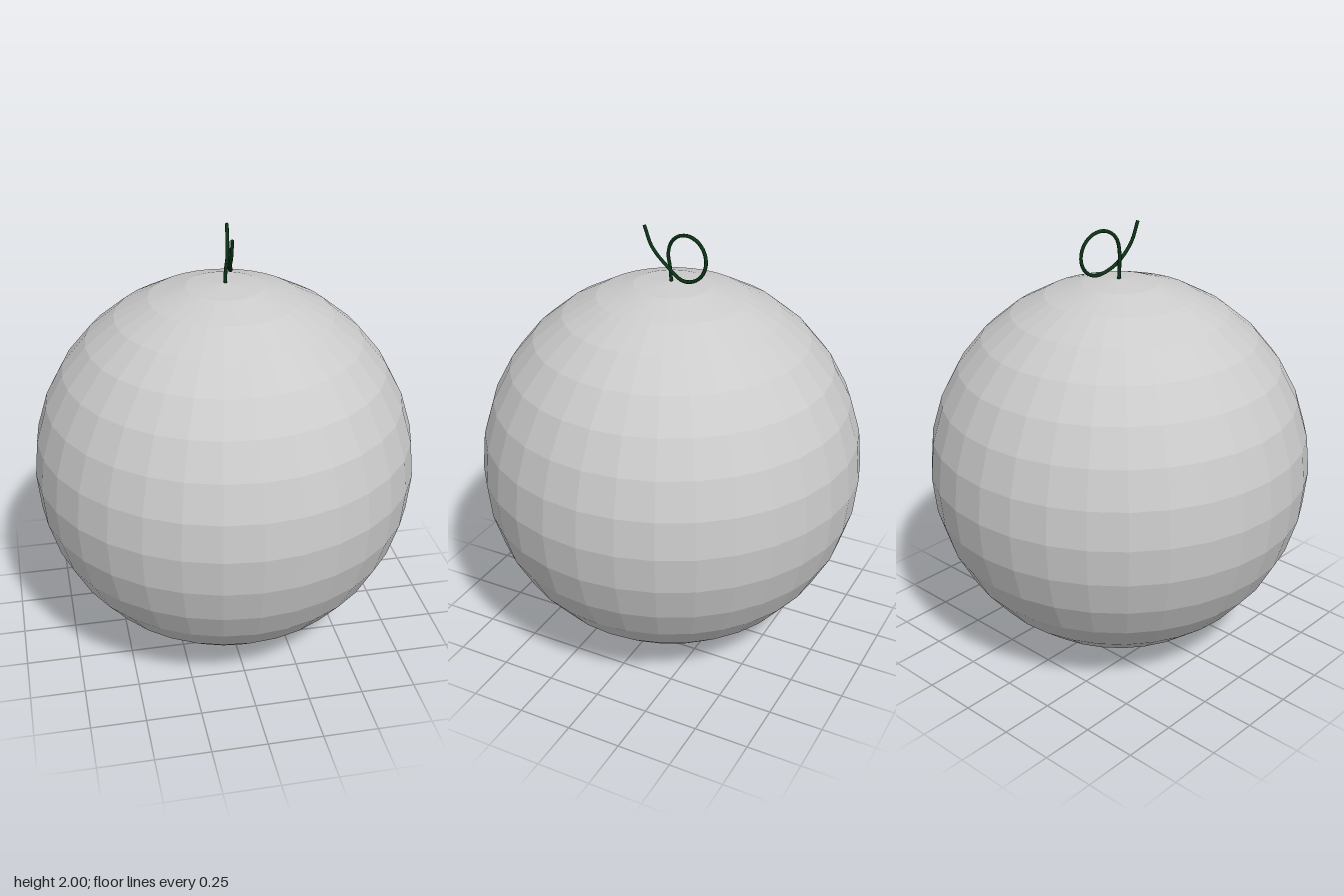
import * as THREE from 'three';

export function createModel() {
  const model = new THREE.Group();
  const radius = 0.88;

  // Faceted round body, standing on the ground
  const body = new THREE.Mesh(
    new THREE.SphereGeometry(radius, 32, 16),
    new THREE.MeshStandardMaterial({ color: 0xcccccc, flatShading: true })
  );
  body.name = 'body';
  body.position.y = radius + 0.003;
  model.add(body);

  // Curled tendril: a short stalk, one full loop backwards, then a free tip at the front
  const points = [[0.005, 1.74, 0], [0.006, 1.82, 0.006]];
  const loopSteps = 9;
  for (let i = 0; i <= loopSteps; i++) {
    const angle = (i / loopSteps) * Math.PI * 1.55;
    const z = -0.088 + 0.1 * Math.cos(angle);
    points.push([
      0.026 - 0.14 * z - 0.012 * Math.cos(angle / 2),
      1.888 + 0.1 * Math.sin(angle),
      z
    ]);
  }
  points.push([0.022, 1.828, 0.008], [0.014, 1.905, 0.09], [0.01, 1.997, 0.13]);
  const path = new THREE.CatmullRomCurve3(points.map((p) => new THREE.Vector3(...p)));

  const tendrilMaterial = new THREE.MeshStandardMaterial({ color: 0x0a3316 });
  const tubeRadius = 0.008;
  const tendril = new THREE.Mesh(
    new THREE.TubeGeometry(path, 80, tubeRadius, 8, false),
    tendrilMaterial
  );
  tendril.name = 'tendril';
  model.add(tendril);

  // Flat cap closing the free tip
  const tip = new THREE.Mesh(new THREE.CircleGeometry(tubeRadius, 8), tendrilMaterial);
  tip.name = 'tendrilTip';
  tip.position.copy(path.getPoint(1));
  tip.quaternion.setFromUnitVectors(new THREE.Vector3(0, 0, 1), path.getTangent(1));
  model.add(tip);

  return model;
}
